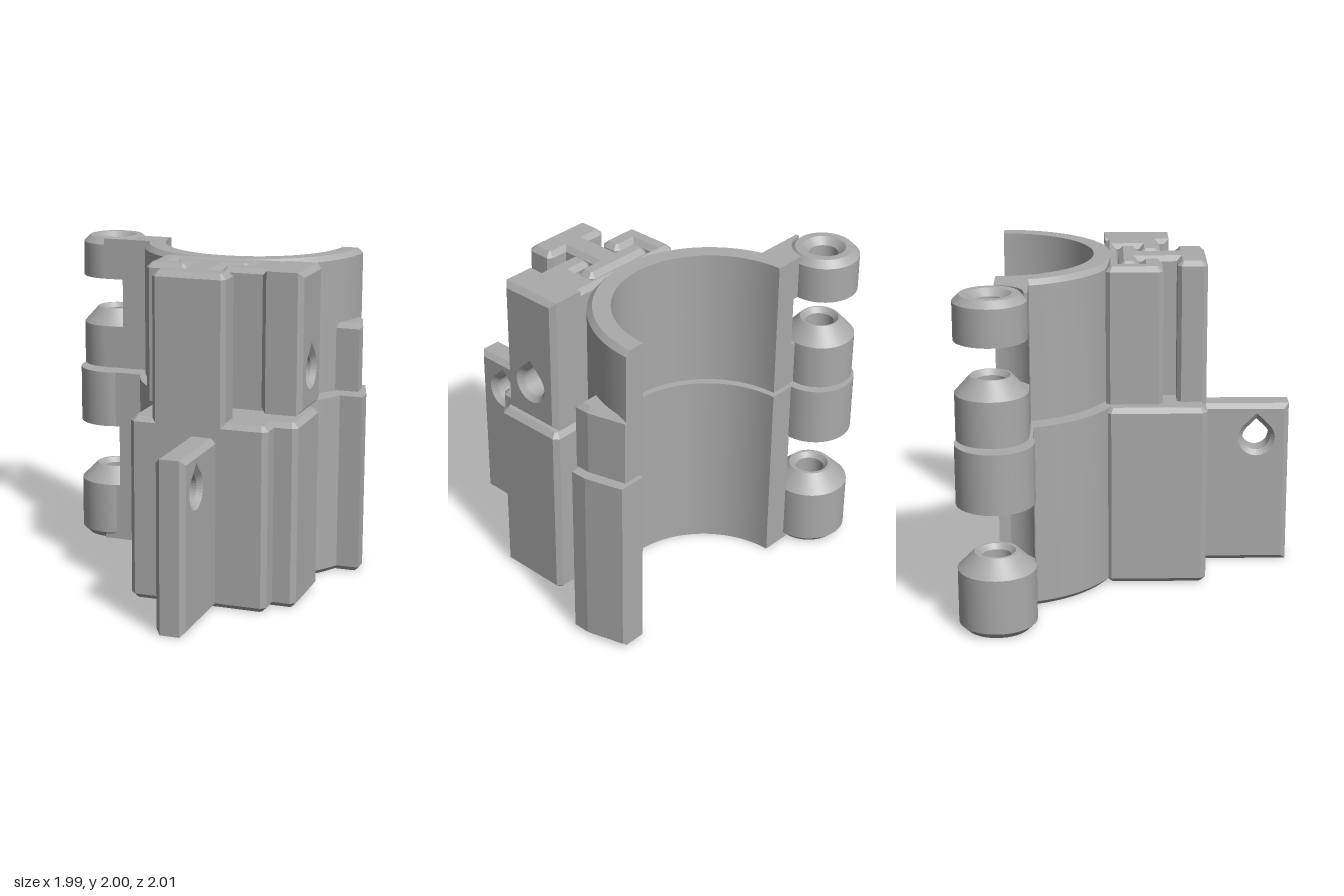
import * as THREE from 'three';
import { toCreasedNormals } from 'three/addons/utils/BufferGeometryUtils.js';

const CHAMFER = 0.03;
const CLAMP = { x: 0.19, z: -0.775, inner: 0.567 };

export function createModel() {
  const model = new THREE.Group();
  model.name = 'hingedPipeClamp';
  const grey = new THREE.MeshStandardMaterial({ color: 0xaaaaaa });
  grey.name = 'plain grey';

  const add = (name, geometry, parent) => {
    const mesh = new THREE.Mesh(geometry, grey);
    mesh.name = name;
    parent.add(mesh);
    return mesh;
  };

  // Cut every convex corner of an [x, z] outline, whichever way it winds
  const cutCorners = (pts, c) => {
    const n = pts.length;
    const area = pts.reduce((s, p, i) => {
      const q = pts[(i + 1) % n];
      return s + p[0] * q[1] - q[0] * p[1];
    }, 0);
    return pts.flatMap((p, i) => {
      const a = pts[(i + n - 1) % n], b = pts[(i + 1) % n];
      const turn = (p[0] - a[0]) * (b[1] - p[1]) - (p[1] - a[1]) * (b[0] - p[0]);
      if (turn * area <= 0) return [p];
      return [a, b].map((q) => {
        const k = c / Math.hypot(q[0] - p[0], q[1] - p[1]);
        return [p[0] + (q[0] - p[0]) * k, p[1] + (q[1] - p[1]) * k];
      });
    });
  };

  const extrude = (shape, length, c) => {
    const geometry = new THREE.ExtrudeGeometry(shape, {
      depth: length - 2 * c, bevelEnabled: c > 0, bevelThickness: c,
      bevelSize: c, bevelOffset: -c, bevelSegments: 1,
    });
    return geometry.translate(0, 0, c);
  };

  // Upright prism from an [x, z] outline; chamfered ends: 'top', 'bottom', 'both' or 'none'
  const prism = (name, outline, y0, y1, ends, parent) => {
    const shape = new THREE.Shape(outline.map(([x, z]) => new THREE.Vector2(x, -z)));
    const piece = (a, b, c) => add(name,
      extrude(shape, b - a, c).rotateX(-Math.PI / 2).translate(0, a, 0), parent);
    if (ends === 'none') return piece(y0, y1, 0);
    piece(y0, y1, CHAMFER);
    // A square-ended sleeve fills the end that stays sharp
    if (ends === 'top') piece(y0, y0 + 0.1, 0);
    if (ends === 'bottom') piece(y1 - 0.1, y1, 0);
  };

  // Chamfered plate across x with a teardrop hole at (hz, hy)
  const drilledPlate = (name, x0, x1, z0, z1, y0, y1, hz, hy, parent) => {
    const shape = new THREE.Shape([[-z1, y0], [-z0, y0], [-z0, y1], [-z1, y1]]
      .map((p) => new THREE.Vector2(...p)));
    const r = 0.085, drop = [new THREE.Vector2(-hz, hy + r * Math.SQRT2)];
    for (let i = 0; i <= 24; i++) {
      const a = Math.PI * (0.75 + 1.5 * i / 24);
      drop.push(new THREE.Vector2(-hz + r * Math.cos(a), hy + r * Math.sin(a)));
    }
    shape.holes.push(new THREE.Path(drop));
    add(name, extrude(shape, x1 - x0, CHAMFER).rotateY(Math.PI / 2).translate(x0, 0, 0), parent);
  };

  const revolve = (profile, segments, start, length) => toCreasedNormals(
    new THREE.LatheGeometry(profile.map((p) => new THREE.Vector2(...p)), segments, start, length), 0.4);

  // Half-round wall with capped ends
  const halfWall = (profile, parent) => {
    const { x, z } = CLAMP;
    add('clampWall', revolve([...profile, profile[0]], 48, -Math.PI / 2, Math.PI).translate(x, 0, z), parent);
    for (const side of [1, -1]) {
      const shape = new THREE.Shape(profile.map(([r, y]) => new THREE.Vector2(side * r, y)));
      add('wallEnd', new THREE.ShapeGeometry(shape).rotateY(Math.PI).translate(x, 0, z), parent);
    }
  };

  const knuckle = (pin, profile, parent) =>
    add('hingeKnuckle', revolve([...profile, profile[0]], 40).translate(pin.x, 0, pin.z), parent);

  // Hinge arm whose outer end is hollowed by radius r around the pin
  const arm = (pin, r, front, y0, y1, parent) => {
    const from = Math.asin((CLAMP.z - pin.z) / r);
    const to = Math.asin(Math.min(1, (front - pin.z) / r));
    const outline = [[-0.44, front], [-0.44, CLAMP.z]];
    for (let i = 0; i <= 12; i++) {
      const a = from + (to - from) * i / 12;
      outline.push([pin.x + r * Math.cos(a), pin.z + r * Math.sin(a)]);
    }
    if (r < front - pin.z) outline.push([pin.x, front]);
    prism('hingeArm', outline, y0, y1, 'none', parent);
  };

  // Lower half
  const lower = new THREE.Group();
  lower.name = 'lowerHalf';
  model.add(lower);
  const lowTop = 1.13, lowR = 0.735;
  halfWall([[CLAMP.inner, 0], [lowR - CHAMFER, 0], [lowR, CHAMFER], [lowR, lowTop], [CLAMP.inner, lowTop]], lower);
  prism('lowerBlock', cutCorners([[-0.18, -0.14], [0.81, -0.14], [0.81, 0.33], [0.67, 0.33],
    [0.67, 0.47], [-0.18, 0.47]], CHAMFER), 0, lowTop, 'both', lower);
  prism('lowerLatch', [[0.8, -0.45], [0.99, -0.45], [0.99, -0.55], [0.925, -0.775], [0.82, -0.775]],
    0, lowTop, 'bottom', lower);
  drilledPlate('mountingFin', 0.18, 0.36, 0.38, 1, 0, 1.04, 0.8, 0.82, lower);

  // T-shaped rail rising through the upper half
  prism('slideRail', cutCorners([[-0.05, -0.06], [0.42, -0.06], [0.42, 0.06], [0.28, 0.06], [0.28, 0.29],
    [0.41, 0.29], [0.41, 0.47], [-0.04, 0.47], [-0.04, 0.29], [0.1, 0.29], [0.1, 0.06], [-0.05, 0.06]], 0.025),
  0.6, 2, 'top', lower);

  const lowPin = { x: -0.77, z: -0.78 };
  knuckle(lowPin, [[0.19, 0], [0.23, 0.04], [0.23, 0.37], [0.13, 0.47], [0.11, 0.47],
    [0.085, 0.44], [0.085, 0.04], [0.125, 0]], lower);
  knuckle(lowPin, [[0.225, 0.77], [0.23, 0.77], [0.23, lowTop], [0.085, lowTop], [0.085, 0.89]], lower);
  arm(lowPin, 0.24, -0.565, 0, lowTop, lower);
  arm(lowPin, 0.205, -0.565, 0, 0.37, lower);
  arm(lowPin, 0.205, -0.565, 0.77, lowTop, lower);

  // Upper half
  const upper = new THREE.Group();
  upper.name = 'upperHalf';
  model.add(upper);
  const upBase = 1.16, upR = 0.7;
  halfWall([[CLAMP.inner, upBase], [upR, upBase], [upR, 2 - CHAMFER], [upR - CHAMFER, 2], [CLAMP.inner, 2]], upper);
  prism('slottedBlock', cutCorners([[-0.18, -0.14], [0.64, -0.14], [0.64, 0.2], [0.29, 0.2], [0.29, 0.07],
    [0.43, 0.07], [0.43, -0.07], [-0.06, -0.07], [-0.06, 0.07], [0.08, 0.07], [0.08, 0.2], [-0.18, 0.2]], 0.025),
  upBase, 2, 'top', upper);
  drilledPlate('drilledCheek', 0.56, 0.81, -0.14, 0.26, upBase, 2, 0.06, 1.4, upper);
  prism('upperLatch', [[0.78, -0.46], [0.96, -0.46], [0.96, -0.55], [0.9, -0.775], [0.83, -0.775]],
    upBase, 1.58, 'top', upper);

  const upPin = { x: -0.765, z: -0.79 };
  knuckle(upPin, [[0.205, 1.74], [0.21, 1.74], [0.21, 1.96], [0.17, 2], [0.125, 2],
    [0.085, 1.96], [0.085, 1.85]], upper);
  knuckle(upPin, [[0.085, upBase], [0.21, upBase], [0.21, 1.43], [0.12, 1.53], [0.11, 1.53], [0.085, 1.5]], upper);
  arm(upPin, 0.245, -0.58, upBase, 2, upper);
  arm(upPin, 0.19, -0.58, upBase, 1.43, upper);
  arm(upPin, 0.19, -0.58, 1.74, 2, upper);

  return model;
}
